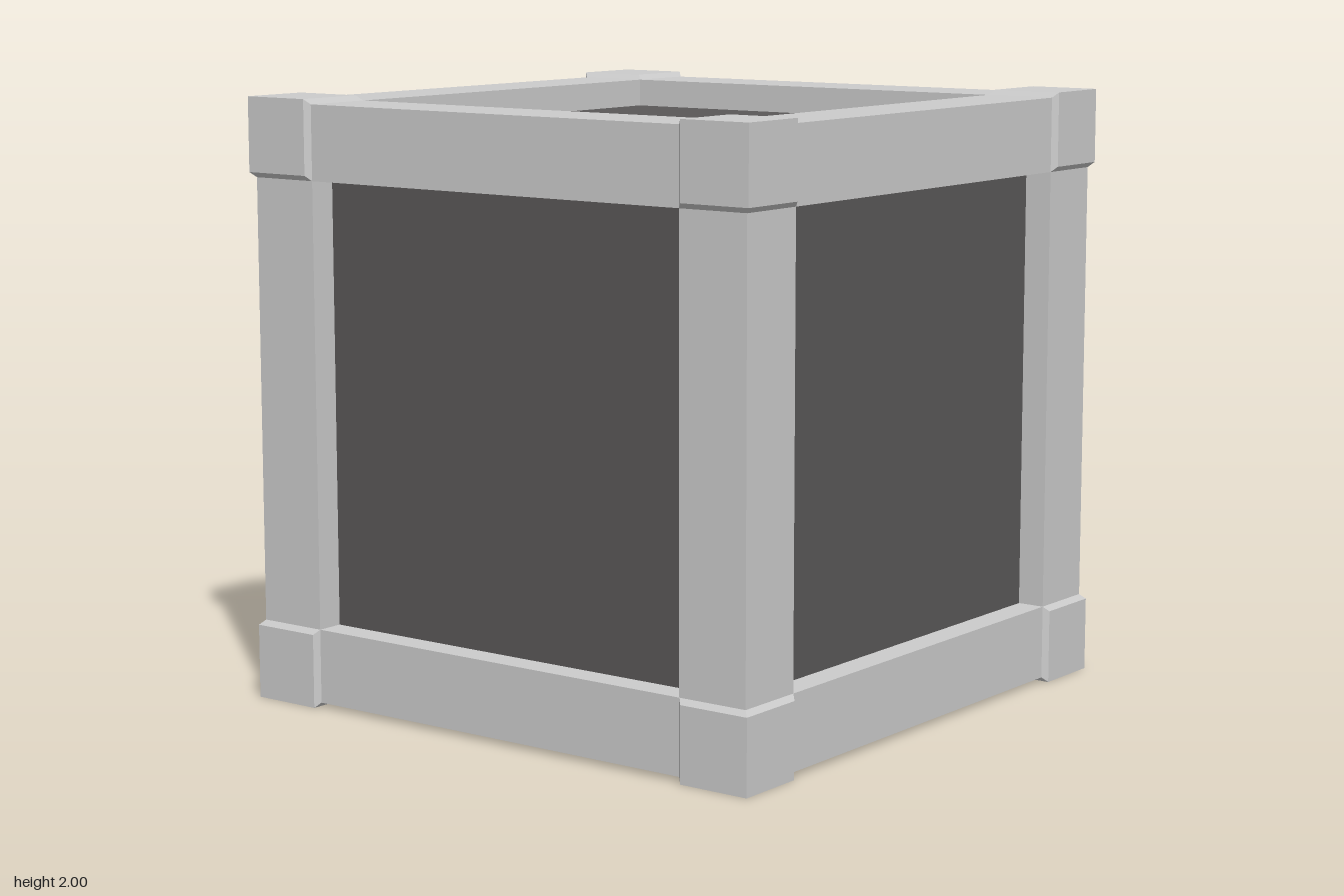
import * as THREE from 'three';
import { ConvexGeometry } from 'three/addons/geometries/ConvexGeometry.js';

const OUTER = 0.983;  // outer face of the bars
const INNER = 0.737;  // inner face of the bars
const CHAMFER = 0.017; // how far the corner blocks stand proud
const PANEL = 0.89;   // half size of the recessed core

export function createModel() {
  const model = new THREE.Group();
  const frameMaterial = new THREE.MeshStandardMaterial({ color: 0xcccccc, flatShading: true });
  const panelMaterial = new THREE.MeshStandardMaterial({ color: 0x5a5858, flatShading: true });

  const add = (name, geometry, material, x = 0, y = 0, z = 0) => {
    const mesh = new THREE.Mesh(geometry, material);
    mesh.name = name;
    mesh.position.set(x, y + 1, z);
    model.add(mesh);
  };

  // Dark core: its six faces are the recessed panels
  add('panelCore', new THREE.BoxGeometry(2 * PANEL, 2 * PANEL, 2 * PANEL), panelMaterial);

  // Twelve edge bars, four along each axis
  const width = OUTER - INNER;
  const middle = (OUTER + INNER) / 2;
  ['x', 'y', 'z'].forEach((axis, i) => {
    const size = [width, width, width];
    size[i] = 2 * INNER;
    const geometry = new THREE.BoxGeometry(...size);
    for (const a of [-1, 1]) for (const b of [-1, 1]) {
      const position = [0, 0, 0];
      position[(i + 1) % 3] = a * middle;
      position[(i + 2) % 3] = b * middle;
      add(axis + 'EdgeBar', geometry, frameMaterial, ...position);
    }
  });

  // Eight corner blocks: a cube swept outward along its diagonal, leaving chamfers towards the bars
  for (const sx of [-1, 1]) for (const sy of [-1, 1]) for (const sz of [-1, 1]) {
    const points = [];
    for (const shift of [0, CHAMFER]) {
      const ends = [INNER + shift, OUTER + shift];
      for (const x of ends) for (const y of ends) for (const z of ends) {
        points.push(new THREE.Vector3(sx * x, sy * y, sz * z));
      }
    }
    add('cornerBlock', new ConvexGeometry(points), frameMaterial);
  }

  return model;
}
